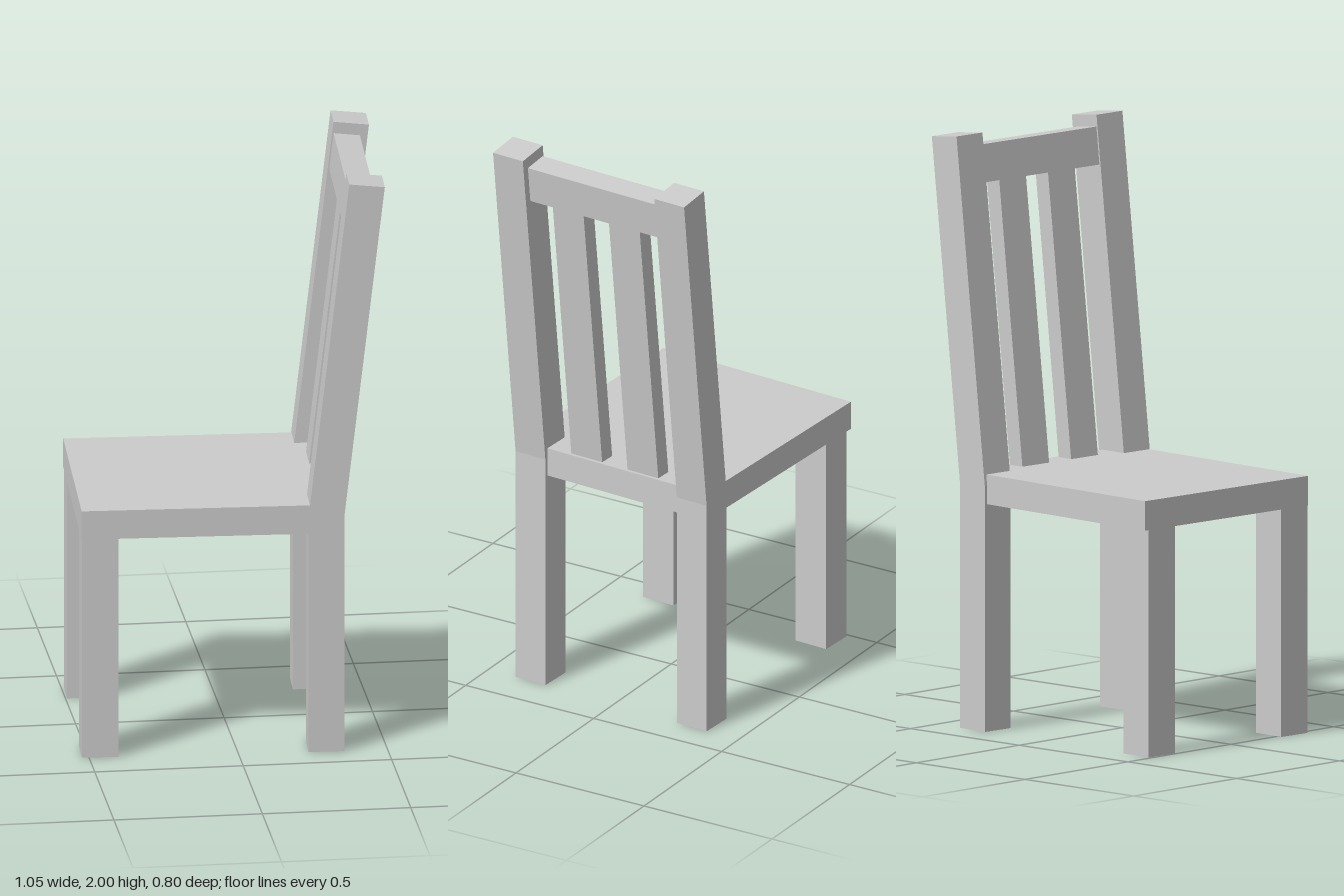
import * as THREE from 'three';

const material = new THREE.MeshStandardMaterial({ color: 0xcccccc, flatShading: true });
const LEAN = 0.1164; // backward shift of the backrest per unit of height

// Side profile in (x, y), extruded from z0 to z1
function slab(name, points, z0, z1) {
  const shape = new THREE.Shape(points.map(([x, y]) => new THREE.Vector2(x, y)));
  const geometry = new THREE.ExtrudeGeometry(shape, { depth: z1 - z0, bevelEnabled: false });
  geometry.translate(0, 0, z0);
  const mesh = new THREE.Mesh(geometry, material);
  mesh.name = name;
  return mesh;
}

const rect = (x0, x1, y0, y1) => [[x0, y0], [x1, y0], [x1, y1], [x0, y1]];

// Four-sided profile that leans with the backrest
const leaning = (x, width, y0, y1, drop = 0) => {
  const rise = (y1 - y0) * LEAN;
  return [[x, y0], [x + width, y0 - drop], [x + width + rise, y1 - drop], [x + rise, y1]];
};

export function createModel() {
  const chair = new THREE.Group();
  chair.name = 'chair';

  // Seat board
  chair.add(slab('seat', rect(-0.508, 0.361, 0.77, 0.87), -0.382, 0.374));

  // Straight legs under the open end of the seat
  for (const [side, z] of [['left', 0.25], ['right', -0.365]]) {
    chair.add(slab(side + 'FrontLeg', rect(-0.507, -0.385, 0, 0.77), z, z + 0.123));
  }

  // Rear legs that bend at the seat and continue as backrest posts
  const post = [[0.253, 0], [0.373, 0], [0.373, 0.833], [0.508, 1.987], [0.389, 2], [0.253, 0.833]];
  for (const [side, z] of [['left', 0.256], ['right', -0.393]]) {
    chair.add(slab(side + 'RearPost', post, z, z + 0.12));
  }

  // Top rail between the posts
  chair.add(slab('topRail', leaning(0.375, 0.088, 1.833, 1.96, 0.01), -0.273, 0.256));

  // Vertical back slats
  for (const [side, z] of [['left', 0.043], ['right', -0.183]]) {
    chair.add(slab(side + 'BackSlat', leaning(0.29, 0.06, 0.87, 1.83), z, z + 0.124));
  }

  // The whole chair stands slightly turned
  chair.rotation.y = -0.0465;
  const model = new THREE.Group();
  model.add(chair);
  return model;
}
